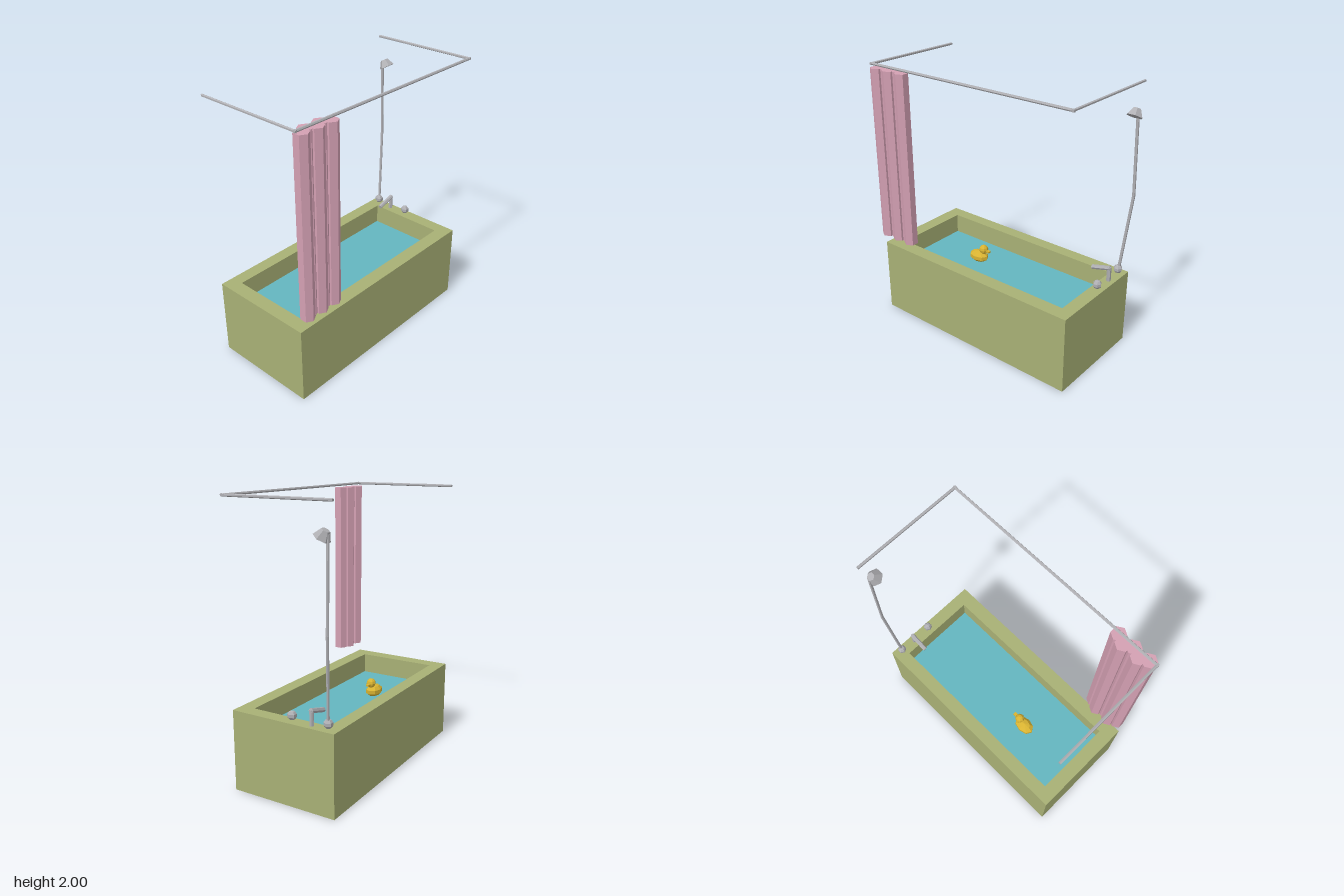
import * as THREE from 'three';

function material(name, color) {
  const m = new THREE.MeshStandardMaterial({ color });
  m.name = name;
  m.flatShading = true;
  return m;
}

export function createModel() {
  const olive = material('olive tub', 0xa8b075);
  const aqua = material('aqua water', 0x64b6bf);
  const pink = material('pink curtain', 0xd4a0b3);
  const metal = material('grey metal', 0xb0b0b4);
  const yellow = material('yellow duck', 0xdab432);

  const model = new THREE.Group();
  model.name = 'bathtub';

  function add(name, geometry, mat, x = 0, y = 0, z = 0, parent = model) {
    const mesh = new THREE.Mesh(geometry, mat);
    mesh.name = name;
    mesh.position.set(x, y, z);
    parent.add(mesh);
    return mesh;
  }

  // Tapered bar between two points
  function bar(name, a, b, rA, rB, sides, mat, parent = model) {
    const from = new THREE.Vector3(...a), to = new THREE.Vector3(...b);
    const dir = to.clone().sub(from);
    const geometry = new THREE.CylinderGeometry(rB, rA, dir.length(), sides);
    const mid = from.add(to).multiplyScalar(0.5);
    const mesh = add(name, geometry, mat, mid.x, mid.y, mid.z, parent);
    mesh.quaternion.setFromUnitVectors(new THREE.Vector3(0, 1, 0), dir.normalize());
    return mesh;
  }

  // Tub: one block with a rectangular basin
  const x0 = -0.87, x1 = 0.82, z0 = -0.43, z1 = 0.365, top = 0.58, floor = 0.1;
  const rect = (Type, l, r, b, t) => {
    const p = new Type();
    p.moveTo(l, b);
    p.lineTo(r, b);
    p.lineTo(r, t);
    p.lineTo(l, t);
    p.closePath();
    return p;
  };
  const rim = rect(THREE.Shape, x0, x1, -z1, -z0);
  rim.holes.push(rect(THREE.Path, -0.768, 0.722, -0.26, 0.335));
  const walls = new THREE.ExtrudeGeometry(rim, { depth: top - floor, bevelEnabled: false });
  walls.rotateX(-Math.PI / 2);
  add('tubWalls', walls, olive, 0, floor, 0);
  add('tubBase', new THREE.BoxGeometry(x1 - x0, floor, z1 - z0), olive,
    (x0 + x1) / 2, floor / 2, (z0 + z1) / 2);

  // Water
  const water = add('water', new THREE.PlaneGeometry(1.49, 0.595), aqua, -0.023, 0.43, -0.0375);
  water.rotation.x = -Math.PI / 2;

  // Curtain rail
  const railY = 1.99, railZ = 0.38, railR = 0.01;
  bar('frontRail', [-0.874, railY, railZ], [0.83, railY, railZ], railR, railR, 6, metal);
  for (const [name, x] of [['rightRail', -0.864], ['leftRail', 0.82]]) {
    bar(name, [x, railY, 0.39], [x, railY, -0.43], railR, railR, 6, metal);
  }

  // Gathered curtain: overlapping six-sided folds
  const curtain = new THREE.Group();
  curtain.name = 'curtain';
  model.add(curtain);
  for (let i = 0; i < 5; i++) {
    add('curtainFold', new THREE.CylinderGeometry(0.051, 0.051, 1.29, 6), pink,
      -0.814 + i * 0.0595, 1.325, i % 2 ? 0.346 : 0.378, curtain);
  }

  // Taps
  for (const z of [-0.36, -0.085]) {
    add('tapKnob', new THREE.SphereGeometry(0.033, 6, 5), metal, 0.773, 0.62, z);
  }

  // Spout
  bar('spoutPost', [0.773, top, -0.235], [0.773, 0.688, -0.235], 0.016, 0.016, 6, metal);
  bar('spout', [0.782, 0.683, -0.235], [0.635, 0.643, -0.235], 0.017, 0.017, 6, metal);

  // Shower pipe in two slanted lengths
  const elbow = [0.83, 1.2, -0.393];
  bar('lowerPipe', [0.775, 0.6, -0.36], elbow, 0.011, 0.011, 6, metal);
  bar('upperPipe', elbow, [0.812, 1.795, -0.39], 0.011, 0.011, 6, metal);
  add('pipeElbow', new THREE.SphereGeometry(0.0115, 6, 4), metal, ...elbow);

  // Shower head tilted towards the tub
  const head = new THREE.CylinderGeometry(0.028, 0.058, 0.056, 6);
  head.rotateY(Math.PI / 2);
  const showerHead = add('showerHead', head, metal, 0.81, 1.794, -0.36);
  showerHead.rotation.x = -0.53;

  // Floating duck facing +x
  const duck = new THREE.Group();
  duck.name = 'duck';
  duck.position.set(-0.31, 0.463, -0.085);
  model.add(duck);
  const body = new THREE.SphereGeometry(1, 8, 5);
  body.scale(0.085, 0.046, 0.057);
  add('duckBody', body, yellow, 0, 0, 0, duck);
  add('duckHead', new THREE.SphereGeometry(0.036, 8, 6), yellow, 0.05, 0.072, 0, duck);
  add('duckBeak', new THREE.BoxGeometry(0.04, 0.014, 0.024), yellow, 0.09, 0.066, 0, duck);

  return model;
}
